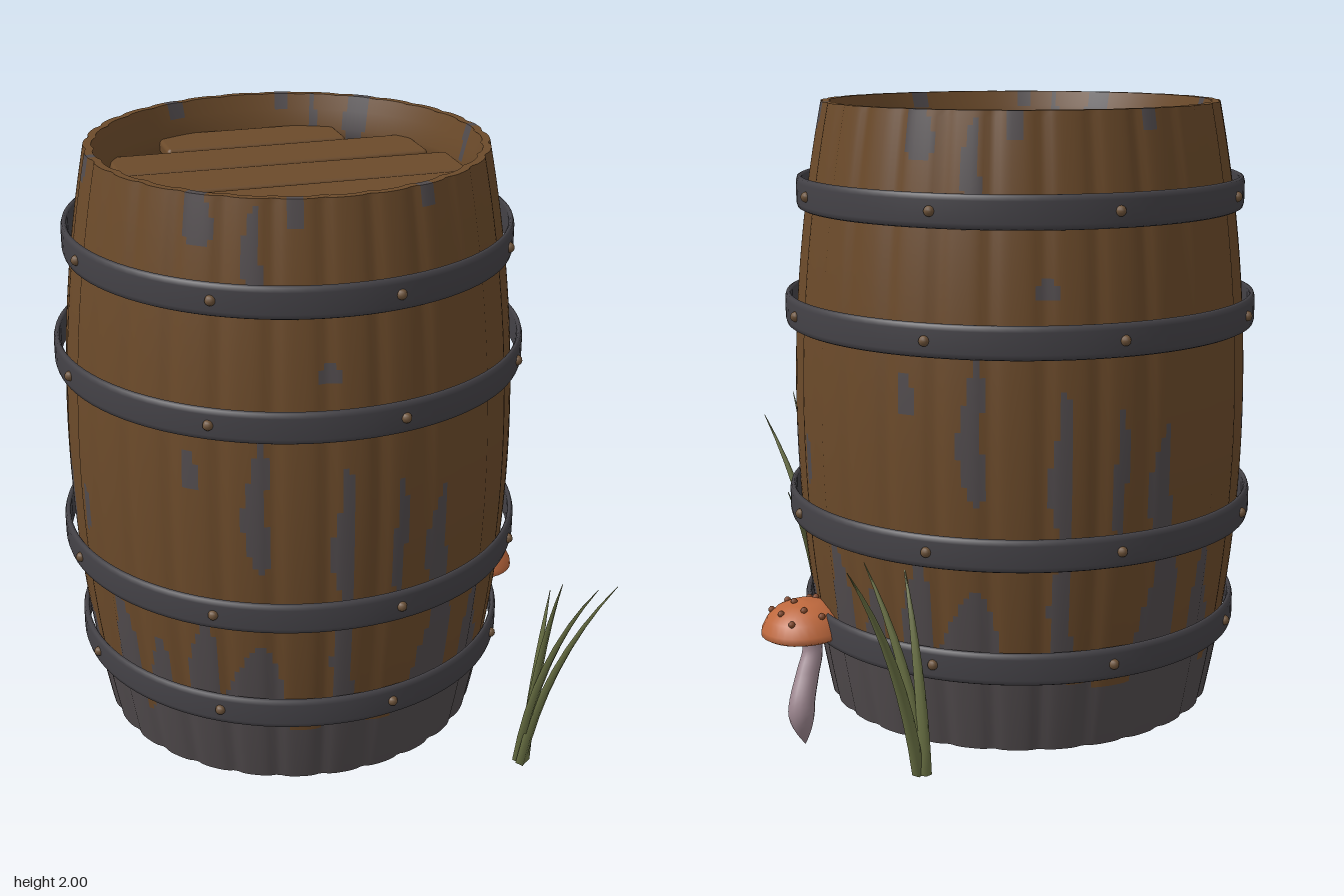
import * as THREE from 'three';
import { RoundedBoxGeometry } from 'three/addons/geometries/RoundedBoxGeometry.js';

const mat = (name, color, side = THREE.FrontSide) => {
  const m = new THREE.MeshStandardMaterial({ color, side });
  m.name = name;
  return m;
};
const V = (x, y, z) => new THREE.Vector3(x, y, z);
const CX = -0.06, CZ = -0.06; // barrel axis

// Weathered grey streaks: angle (degrees from front), centre height, half width (degrees), half height
const STREAKS = [
  [-40, 1.2, 2.6, 0.06], [-23, 1.1, 2.8, 0.22], [-2, 1.0, 2.6, 0.22], [12, 0.98, 1.8, 0.2],
  [24, 0.92, 3, 0.18], [66, 1.05, 1.6, 0.12], [-5, 1.51, 3, 0.025], [-24, 1.83, 2.4, 0.16],
  [-39, 1.95, 4, 0.1], [-13, 1.98, 2.5, 0.06], [24, 1.99, 2.5, 0.05], [89, 0.9, 2.4, 0.15],
  [102, 0.92, 1.6, 0.08], [84, 1.32, 1.4, 0.05], [90, 1.97, 2, 0.06], [-38, 0.42, 5, 0.28],
  [-24, 0.4, 8, 0.22], [-2, 0.55, 2.4, 0.22], [26, 0.5, 6, 0.25], [42, 0.4, 5, 0.3],
  [68, 0.5, 2.2, 0.22], [90, 0.4, 5, 0.12], [115, 0.42, 5, 0.27], [128, 0.4, 4, 0.18],
];

function isGrey(theta, y) {
  const deg = THREE.MathUtils.radToDeg(theta);
  const a = ((deg + 45) % 180 + 180) % 180 - 45;
  const edge = 0.33 + 0.025 * Math.sin(theta * 7) - 0.06 * Math.max(0, Math.sin(theta * 5 + 0.7)) ** 6;
  if (y < edge) return true;
  return STREAKS.some(([sa, sy, w, h]) => {
    const t = (y - sy) / h;
    const d = a - sa + 0.8 * Math.sin(y * 17 + sa);
    return Math.abs(t) < 1 && Math.abs(d) < w * Math.sqrt(1 - t * t) * (1 - 0.35 * t);
  });
}

// Surface of revolution with shallow stave scallops, split into wood and grey cells
function staveShell(profile, segs, scallop, materials) {
  const pos = [], wood = [], grey = [];
  for (const [r, y] of profile) {
    for (let i = 0; i < segs; i++) {
      const t = (i / segs) * Math.PI * 2;
      const rr = r - scallop * (1 - Math.abs(Math.cos(t * 14))) ** 2;
      pos.push(rr * Math.sin(t), y, rr * Math.cos(t));
    }
  }
  for (let j = 0; j < profile.length - 1; j++) {
    const ym = (profile[j][1] + profile[j + 1][1]) / 2;
    for (let i = 0; i < segs; i++) {
      const k = (i + 1) % segs, a = j * segs + i, b = j * segs + k;
      const list = isGrey(((i + 0.5) / segs) * Math.PI * 2, ym) ? grey : wood;
      list.push(a, b, b + segs, a, b + segs, a + segs);
    }
  }
  const g = new THREE.BufferGeometry();
  g.setAttribute('position', new THREE.Float32BufferAttribute(pos, 3));
  g.setIndex([...wood, ...grey]);
  g.addGroup(0, wood.length, 0);
  g.addGroup(wood.length, grey.length, 1);
  g.computeVertexNormals();
  return new THREE.Mesh(g, materials);
}

// Bent tapering stalk: a curve swept with a radius rule
function taperedTube(points, radius, sides, rows) {
  const curve = points.length === 3
    ? new THREE.QuadraticBezierCurve3(...points) : new THREE.CatmullRomCurve3(points);
  const g = new THREE.TubeGeometry(curve, rows, 1, sides, false);
  const p = g.attributes.position, v = V(0, 0, 0);
  for (let j = 0; j <= rows; j++) {
    const c = curve.getPointAt(j / rows), r = radius(j / rows);
    for (let i = 0; i <= sides; i++) {
      const n = j * (sides + 1) + i;
      v.fromBufferAttribute(p, n).sub(c).multiplyScalar(r).add(c);
      p.setXYZ(n, v.x, v.y, v.z);
    }
  }
  g.computeVertexNormals();
  return g;
}

export function createModel() {
  const model = new THREE.Group();
  const M = {
    wood: mat('brown wood', 0x6b4a2a), grey: mat('weathered grey', 0x514b4d),
    iron: mat('dark iron', 0x444247), rivet: mat('rivet bronze', 0x6b5138),
    grass: mat('grass green', 0x676e42, THREE.DoubleSide), cap: mat('orange cap', 0xbd683d),
    stem: mat('mauve stem', 0x9b858e), gill: mat('dark gills', 0x3e3a3b), wart: mat('cap warts', 0x7d4527),
  };
  const add = (parent, name, geo, material, x = 0, y = 0, z = 0) => {
    const m = new THREE.Mesh(geo, material);
    m.name = name;
    m.position.set(x, y, z);
    parent.add(m);
    return m;
  };

  // Barrel body
  const barrel = new THREE.Group();
  barrel.name = 'barrel';
  barrel.position.set(CX, 0, CZ);
  model.add(barrel);
  const radius = (y) => 0.717 - 0.097 * ((y - 1.05) / 0.95) ** 2;
  const range = (n, f) => Array.from({ length: n + 1 }, (_, i) => f(i / n));
  const outer = range(95, (t) => [radius(0.1 + 1.9 * t), 0.1 + 1.9 * t]);
  const inner = range(50, (t) => [radius(1.8 - 1.7 * t) - 0.045, 1.8 - 1.7 * t]);
  const parts = {
    staves: [outer, 0.012],
    topRim: [[[0.62, 2], [0.595, 2]], 0.012],
    rimInside: [[[0.595, 2], [0.58, 1.95], [0.565, 1.89], [0.565, 1.84], [0.607, 1.8]], 0],
    innerWall: [inner, 0],
    bottomRim: [[[0.575, 0.1], [0.62, 0.1]], 0.012],
  };
  for (const [name, [profile, scallop]] of Object.entries(parts)) {
    const shell = staveShell(profile, 252, scallop, [M.wood, M.grey]);
    shell.name = name;
    barrel.add(shell);
  }

  // Lid planks with gaps between them
  [[-0.455, 0.6, 0.2], [-0.23, 1.01, 0.213], [0, 1.11, 0.213], [0.23, 1.01, 0.213], [0.455, 0.62, 0.2]]
    .forEach(([z, length, width], i) => {
      const plank = add(barrel, 'lidPlank', new RoundedBoxGeometry(length, 0.045, width, 2, 0.014), M.wood, 0, 1.875, z);
      plank.rotation.y = 0.012 * Math.sin(i * 2.3);
    });

  // Hoops standing slightly off the staves, each with eight rivets
  const rivetGeo = new THREE.SphereGeometry(0.016, 10, 8);
  for (const [y, r] of [[0.385, 0.7], [0.745, 0.742], [1.365, 0.742], [1.725, 0.7]]) {
    const hoop = new THREE.Group();
    hoop.name = 'hoop';
    hoop.position.y = y;
    barrel.add(hoop);
    const band = [[-0.018, -0.042], [-0.012, -0.05], [-0.004, -0.046], [0, -0.032], [0, 0.032],
      [-0.004, 0.046], [-0.012, 0.05], [-0.018, 0.042], [-0.018, -0.042]]
      .map(([dr, h]) => new THREE.Vector2(r + dr, h));
    add(hoop, 'hoopBand', new THREE.LatheGeometry(band, 96), M.iron);
    for (let k = 0; k < 8; k++) {
      const t = THREE.MathUtils.degToRad(11.5 + 45 * k);
      add(hoop, 'rivet', rivetGeo, M.rivet, r * Math.sin(t), 0, r * Math.cos(t));
    }
  }

  // Grass clumps: root x, z, then blade tips
  const clumps = [
    [0.51, 0.66, [[0.65, 0.62, 0.5], [0.7, 0.82, 0.86], [0.585, 0.88, 0.96], [0.51, 0.87, 0.88]]],
    [0.38, -0.77, [[0.61, 0.79, -0.96], [0.52, 0.7, -0.6], [0.4, 0.68, -0.58]]],
    [-0.07, 0.34, [[0.02, 0.75, 0.2], [-0.1, 0.8, 0.45], [0.12, 0.6, 0.4]]],
    [-0.02, -0.24, [[0.15, 0.85, 0.04], [-0.08, 0.75, -0.18], [0.25, 0.8, -0.43]]],
  ];
  for (const [x, z, tips] of clumps) {
    const clump = new THREE.Group();
    clump.name = 'grassClump';
    model.add(clump);
    tips.forEach((tip, i) => {
      const end = V(...tip);
      const root = V(x + 0.012 * Math.cos(i * 2), 0.1, z + 0.012 * Math.sin(i * 2));
      const mid = V(root.x + (end.x - x) * 0.22, 0.1 + (end.y - 0.1) * 0.55, root.z + (end.z - z) * 0.22);
      const blade = taperedTube([root, mid, end], (t) => 0.001 + 0.023 * (1 - t) * (0.75 + 0.8 * t), 4, 8);
      add(clump, 'grassBlade', blade, M.grass);
    });
  }

  // Mushroom with a bent stem, domed cap, gills and warts
  const mushroom = new THREE.Group();
  mushroom.name = 'mushroom';
  model.add(mushroom);
  const stem = [V(0.675, 0, -0.255), V(0.685, 0.12, -0.265), V(0.66, 0.22, -0.225), V(0.64, 0.29, -0.2), V(0.65, 0.375, -0.2)];
  add(mushroom, 'stem', taperedTube(stem, (t) => (t < 0.3 ? 0.002 + 0.04 * Math.sin((t / 0.3) * Math.PI / 2) : 0.042 - 0.02 * (t - 0.3)), 14, 24), M.stem);
  const head = new THREE.Group();
  head.name = 'mushroomHead';
  head.position.set(0.66, 0.36, -0.2);
  head.rotation.z = -0.04;
  mushroom.add(head);
  const lathe = (pts) => new THREE.LatheGeometry(pts.map(([r, y]) => new THREE.Vector2(r, y)), 32);
  add(head, 'cap', lathe([[0.128, -0.008], [0.14, 0], [0.137, 0.018], [0.118, 0.052], [0.09, 0.077], [0.05, 0.093], [0, 0.098]]), M.cap);
  add(head, 'gills', lathe([[0, 0.018], [0.05, 0.014], [0.128, -0.008]]), M.gill);
  const wartGeo = new THREE.SphereGeometry(0.011, 8, 6);
  for (let i = 0; i < 11; i++) {
    const t = i * 2.4, r = 0.03 + 0.085 * Math.sqrt(i / 10);
    add(head, 'wart', wartGeo, M.wart, r * Math.cos(t), 0.1 * Math.sqrt(1 - (r / 0.142) ** 2), r * Math.sin(t));
  }
  return model;
}
